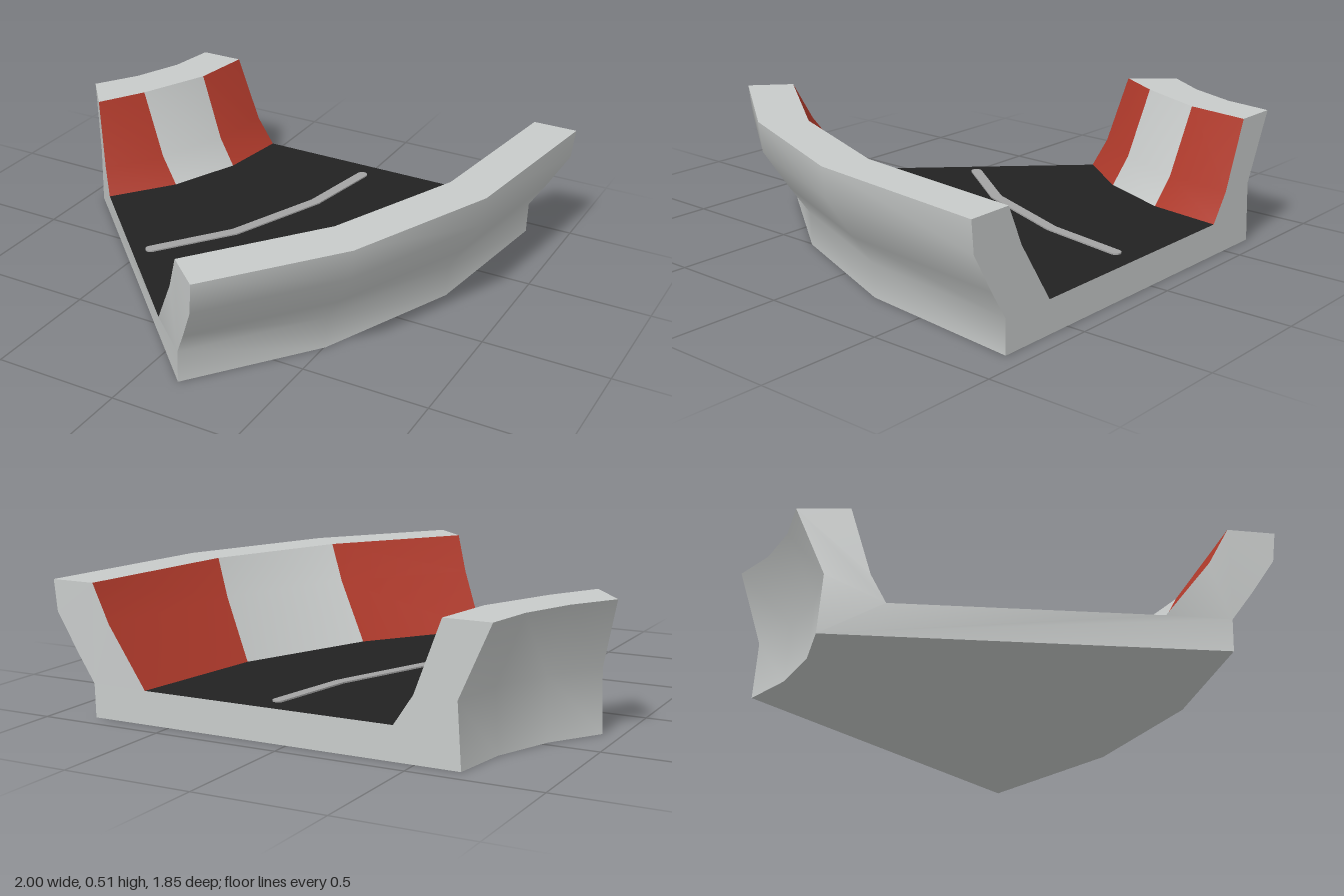
import * as THREE from 'three';

const mat = (name, color) => Object.assign(new THREE.MeshStandardMaterial({ color }), { name });

// Plan curves [x, z] at four stations, from the back end round to the front end
const outerRoad = [[0.6, -0.926], [0.525, -0.36], [0.3, 0.18], [-0.04, 0.63]];
const outerInnerTop = [[0.82, -0.926], [0.74, -0.23], [0.52, 0.31], [0.15, 0.8]];
const outerTop = [[1, -0.926], [0.91, -0.17], [0.66, 0.44], [0.29, 0.924]];
const innerRoad = [[-0.42, -0.926], [-0.46, -0.63], [-0.58, -0.34], [-0.765, -0.1]];
const innerInnerTop = [[-0.6, -0.926], [-0.635, -0.67], [-0.76, -0.385], [-0.87, -0.2]];
const innerTop = [[-0.78, -0.926], [-0.81, -0.73], [-0.89, -0.53], [-1, -0.36]];
const ROAD_Y = 0.128, TOP_Y = 0.51;

// Rail: points at height y, a fraction t of the way between two plan curves
const rail = (a, b, t, y) => a.map((p, i) => new THREE.Vector3(
  p[0] + (b[i][0] - p[0]) * t, y, p[1] + (b[i][1] - p[1]) * t));

// Cross-section rails, anticlockwise seen from the front
const profile = [
  rail(outerRoad, outerTop, 0.57, 0),
  rail(outerRoad, outerTop, 0.575, 0.13),
  rail(outerRoad, outerTop, 0.75, 0.24),
  rail(outerRoad, outerTop, 0.97, 0.39),
  rail(outerRoad, outerTop, 1, TOP_Y),
  rail(outerRoad, outerInnerTop, 1, TOP_Y),
  rail(outerRoad, outerInnerTop, 0.69, 0.36),
  rail(outerRoad, outerInnerTop, 0, ROAD_Y),
  rail(innerRoad, innerInnerTop, 0, ROAD_Y),
  rail(innerRoad, innerInnerTop, 0.42, 0.24),
  rail(innerRoad, innerInnerTop, 1, TOP_Y),
  rail(innerRoad, innerTop, 1, TOP_Y),
  rail(innerRoad, innerTop, 0.66, 0.24),
  rail(innerRoad, innerTop, 0.7, 0),
];

// Smooth surface through neighbouring rails, one geometry group per bay
function skin(rails) {
  const geo = new THREE.BufferGeometry().setFromPoints(rails.flat());
  const n = rails[0].length, index = [];
  for (let s = 0; s < n - 1; s++) {
    const start = index.length;
    for (let r = 0; r < rails.length - 1; r++) {
      const a = r * n + s, b = a + n;
      index.push(a, b, b + 1, a, b + 1, a + 1);
    }
    geo.addGroup(start, index.length - start, s);
  }
  geo.setIndex(index);
  geo.computeVertexNormals();
  return geo;
}

// Flat closing face at one station
function endCap(station, flip) {
  const pts = profile.map(r => r[station]);
  const faces = THREE.ShapeUtils.triangulateShape(pts.map(p => new THREE.Vector2(p.x, p.y)), []);
  const geo = new THREE.BufferGeometry().setFromPoints(pts);
  geo.setIndex(faces.flatMap(([a, b, c]) => (flip ? [a, c, b] : [a, b, c])));
  geo.computeVertexNormals();
  return geo;
}

export function createModel() {
  const group = new THREE.Group();
  group.name = 'curvedTrackSection';
  const concrete = mat('concreteGrey', 0xc8cbca);
  const red = mat('barrierRed', 0xb03a2b);
  const asphalt = mat('asphaltBlack', 0x222222);
  const paint = mat('linePaint', 0xa4a4a4);

  const add = (name, geo, material) => {
    const mesh = new THREE.Mesh(geo, material);
    mesh.name = name;
    group.add(mesh);
    return mesh;
  };
  const bays = m => [m, m, m];
  const striped = [red, concrete, red];

  // Barriers, road and underside
  add('outerBarrierBack', skin(profile.slice(0, 5)), bays(concrete));
  add('outerBarrierTop', skin(profile.slice(4, 6)), bays(concrete));
  add('outerBarrierFace', skin(profile.slice(5, 8)), striped);
  add('roadSurface', skin(profile.slice(7, 9)), bays(asphalt));
  add('innerBarrierFace', skin(profile.slice(8, 11)), striped);
  add('innerBarrierTop', skin(profile.slice(10, 12)), bays(concrete));
  add('innerBarrierBack', skin(profile.slice(11, 14)), bays(concrete));
  add('underside', skin([profile[13], profile[0]]), bays(concrete));
  add('backEnd', endCap(0, true), concrete);
  add('frontEnd', endCap(3, false), concrete);

  // Centre line: thin straight plates with round joints and ends
  const line = [[0.088, -0.828], [0.03, -0.49], [-0.13, -0.085], [-0.35, 0.21]];
  const width = 0.044, thick = 0.006, y = ROAD_Y + thick / 2;
  line.forEach(([x, z], i) => {
    add('centreLineJoint', new THREE.CylinderGeometry(width / 2, width / 2, thick, 16), paint)
      .position.set(x, y, z);
    if (!i) return;
    const [px, pz] = line[i - 1];
    const plate = add('centreLinePlate',
      new THREE.BoxGeometry(width, thick, Math.hypot(x - px, z - pz)), paint);
    plate.position.set((x + px) / 2, y, (z + pz) / 2);
    plate.rotation.y = Math.atan2(x - px, z - pz);
  });
  return group;
}
